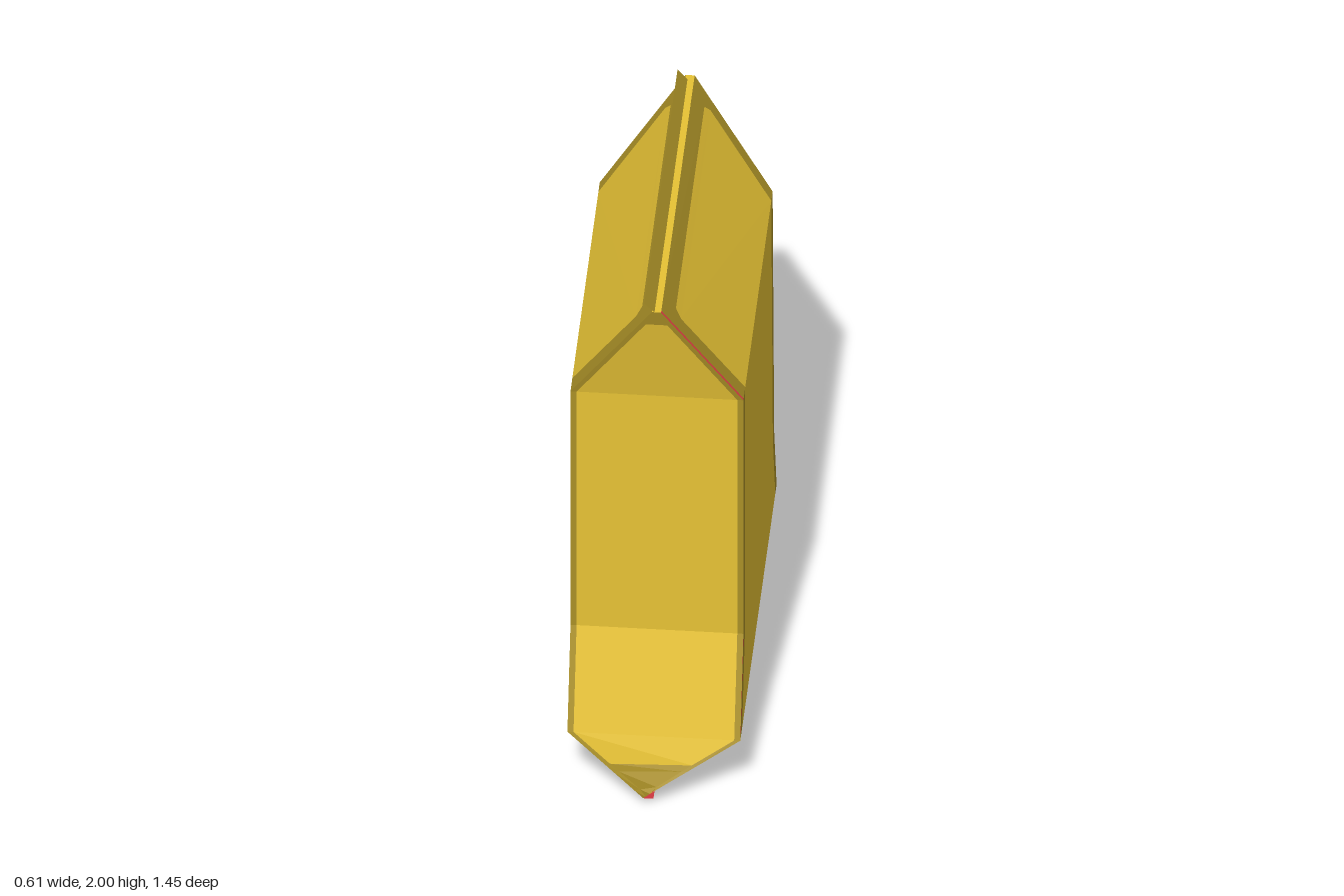
import * as THREE from 'three';

const material = (name, color) => {
  const m = new THREE.MeshStandardMaterial({ color, side: THREE.DoubleSide });
  m.name = name;
  return m;
};

export function createModel() {
  const yellow = material('yellow foil', 0xecc736);
  const border = material('dark yellow border', 0xaa9027);
  const red = material('red seam', 0xec404a);
  const group = new THREE.Group();
  group.name = 'foilBag';

  // Grid of points, one flat-shaded mesh per colour chosen cell by cell
  function sheet(name, rows, pick, flip = false) {
    const sets = new Map();
    for (let i = 0; i < rows.length - 1; i++) {
      for (let j = 0; j < rows[i].length - 1; j++) {
        const a = rows[i][j], b = rows[i][j + 1], c = rows[i + 1][j + 1], d = rows[i + 1][j];
        const mat = pick(i, j);
        if (!sets.has(mat)) sets.set(mat, []);
        const corners = flip ? [a, b, c, a, c, d] : [a, d, c, a, c, b];
        sets.get(mat).push(...corners.flat());
      }
    }
    for (const [mat, values] of sets) {
      const geo = new THREE.BufferGeometry();
      geo.setAttribute('position', new THREE.Float32BufferAttribute(values, 3));
      geo.computeVertexNormals();
      const mesh = new THREE.Mesh(geo, mat);
      mesh.name = `${name} ${mat.name}`;
      group.add(mesh);
    }
  }

  const mix = (p, q, t) => p.map((v, k) => v + (q[k] - v) * t);

  // Outline of one side, top to bottom: x, front y, back y, front z, back z
  function outline(s) {
    const top = [s > 0 ? 0.02 : -0.01, 1.96, 1.96, 0.612, -0.663];
    const shoulder = [s * 0.283, 1.56, 1.57, 0.538, -0.572];
    const waist = [s * 0.283, 0.6, 0.54, 0.538, -0.63];
    const base = [s * 0.283, 0.25, 0.25, 0.655, -0.722];
    const tip = s > 0 ? [0, 0.072, 0.045, 0.725, -0.712] : [-0.03, 0.035, 0.03, 0.71, -0.712];
    return [
      top, mix(top, shoulder, 0.15), mix(top, shoulder, 0.22), shoulder, waist, base,
      mix(base, tip, 0.48), mix(base, tip, 0.6), mix(base, tip, 0.88), tip,
    ];
  }
  const right = outline(1), left = outline(-1);

  // Broad walls: panel with cut corners, dark border, red bottom seam
  function wall(name, rows, seam, flip) {
    const points = rows.map(([x, yf, yb, zf, zb], i) => {
      const cut = i === 1 || i === 7 ? 0.025 : 0;
      const zs = [zf, zf - 0.01, zf - 0.07 - cut, zb + 0.05 + cut, zb];
      return zs.map((z) => [x, yb + (yf - yb) * (z - zb) / (zf - zb), z]);
    });
    sheet(name, points, (i, j) => {
      if (i === 8 || (seam && j === 0 && i < 5)) return red;
      return j === 2 && i >= 1 && i <= 6 ? yellow : border;
    }, flip);
  }
  wall('rightWall', right, true, false);
  wall('leftWall', left, false, true);

  // Narrow front and back ends with dark tips and thin edge borders
  function end(name, yk, zk, flip) {
    const points = right.map((r, i) => {
      const l = left[i];
      const inset = Math.min(0.02, (r[0] - l[0]) / 4) / (r[0] - l[0]);
      const p = [l[0], l[yk], l[zk]], q = [r[0], r[yk], r[zk]];
      return [0, inset, 1 - inset, 1].map((t) => mix(p, q, t));
    });
    sheet(name, points, (i, j) => (j === 1 && i >= 1 && i <= 5 ? yellow : border), flip);
  }
  end('frontEnd', 1, 3, false);
  end('backEnd', 2, 4, true);

  // Flat ridge and the crimped strip leaning off it
  sheet('topRidge', [
    [[-0.01, 1.96, 0.612], [-0.01, 1.96, -0.663]],
    [[0.02, 1.96, 0.612], [0.02, 1.96, -0.663]],
  ], () => yellow);
  sheet('topCrimp', [
    [[-0.034, 2, 0.62], [-0.034, 2, -0.638]],
    [[0, 1.958, 0.612], [0, 1.958, -0.64]],
  ], () => border);

  // Bottom fold, then the red crimped strip under it
  sheet('bottomFold', [
    [[0, 0.072, 0.725], [0, 0.045, -0.712]],
    [[-0.03, 0.035, 0.71], [-0.03, 0.03, -0.712]],
  ], () => yellow);
  sheet('bottomCrimp', [
    [[-0.03, 0.035, 0.71], [-0.03, 0.03, -0.712]],
    [[0, 0.005, 0.67], [0, 0, -0.712]],
  ], () => red);

  // The bag stands slightly turned
  group.rotation.y = 0.03;
  return group;
}
